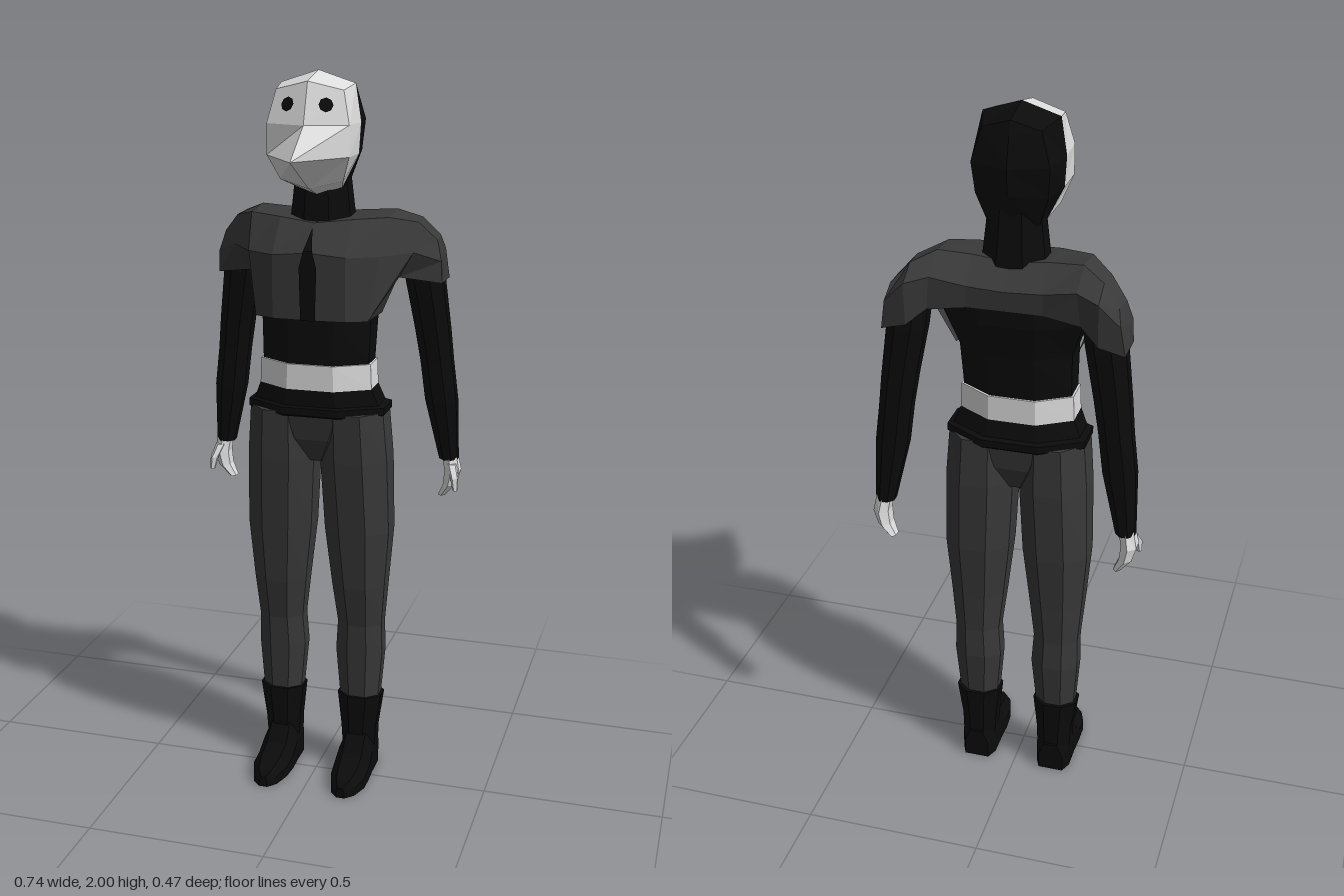
import * as THREE from 'three';
import { mergeGeometries } from 'three/addons/utils/BufferGeometryUtils.js';

const mat = (name, color) => {
  const m = new THREE.MeshStandardMaterial({ color, flatShading: true, side: THREE.DoubleSide });
  m.name = name;
  return m;
};

// Faceted surface through rows of [x, y, z] points.
function grid(rows, closed = false) {
  const out = [];
  for (let i = 0; i < rows.length - 1; i++) {
    const a = rows[i], b = rows[i + 1], n = a.length;
    for (let j = 0; j < (closed ? n : n - 1); j++) {
      const k = (j + 1) % n;
      out.push(...a[j], ...b[j], ...b[k], ...a[j], ...b[k], ...a[k]);
    }
  }
  const g = new THREE.BufferGeometry();
  g.setAttribute('position', new THREE.Float32BufferAttribute(out, 3));
  g.computeVertexNormals();
  return g;
}

// Same rows on the left and on the right.
const mirrorRows = rows => rows.map(r => r.map(([x, y, z]) => [-x, y, z]).reverse());
const mirrored = rows => mergeGeometries([grid(rows), grid(mirrorRows(rows))]);

// Capped loft of horizontal polygons: [y, centreX, centreZ, halfWidth, halfDepth].
function loft(sections, side = 1, n = 8) {
  const k = 1 / Math.cos(Math.PI / n);
  const ring = ([y, cx, cz, rx, rz]) => Array.from({ length: n }, (_, i) => {
    const a = (i + 0.5) / n * Math.PI * 2;
    return [side * cx + Math.cos(a) * rx * k, y, cz - Math.sin(a) * rz * k];
  });
  const point = ([y, cx, cz]) => Array(n).fill([side * cx, y, cz]);
  const s = [...sections].sort((a, b) => a[0] - b[0]);
  return grid([point(s[0]), ...s.map(ring), point(s[s.length - 1])].reverse(), true);
}

export function createModel() {
  const black = mat('black cloth', 0x0b0b0b);
  const grey = mat('dark grey cloth', 0x393939);
  const light = mat('pale grey', 0xdedede);
  const model = new THREE.Group();
  const add = (name, geometry, material) => {
    const m = new THREE.Mesh(geometry, material);
    m.name = name;
    model.add(m);
    return m;
  };

  // Torso, neck and waist
  add('torso', loft([
    [1.15, 0, -0.03, 0.15, 0.085], [1.24, 0, -0.03, 0.148, 0.088], [1.36, 0, -0.04, 0.152, 0.1],
    [1.46, 0, -0.06, 0.185, 0.11], [1.53, 0, -0.068, 0.17, 0.107], [1.58, 0, -0.075, 0.1, 0.08],
  ]), black);
  add('neck', loft([[1.56, 0, -0.07, 0.09, 0.075], [1.64, 0, -0.068, 0.08, 0.068], [1.78, 0, -0.065, 0.065, 0.055]]), black);
  add('belt', loft([[1.165, 0, -0.03, 0.157, 0.094], [1.235, 0, -0.03, 0.154, 0.094]]), light);
  add('jacketHem', loft([
    [1.09, 0, -0.04, 0.183, 0.105], [1.095, 0, -0.04, 0.192, 0.11],
    [1.115, 0, -0.04, 0.192, 0.11], [1.12, 0, -0.037, 0.175, 0.1], [1.166, 0, -0.03, 0.157, 0.093],
  ]), black);

  // Vest with swept-back shoulders: each row runs from front hem over the shoulder to the back hem
  const vest = [
    [[0, 1.36, 0.08], [0, 1.54, 0.08], [0, 1.61, 0.02], [0, 1.62, -0.125], [0, 1.565, -0.19], [0, 1.51, -0.185]],
    [[0.1, 1.36, 0.075], [0.1, 1.53, 0.075], [0.1, 1.62, 0], [0.1, 1.63, -0.125], [0.1, 1.57, -0.19], [0.1, 1.51, -0.185]],
    [[0.155, 1.36, 0.05], [0.18, 1.53, 0.03], [0.19, 1.625, -0.03], [0.19, 1.635, -0.13], [0.19, 1.59, -0.205], [0.2, 1.5, -0.2]],
    [[0.21, 1.46, -0.07], [0.25, 1.53, -0.06], [0.255, 1.605, -0.1], [0.25, 1.61, -0.17], [0.25, 1.575, -0.228], [0.25, 1.46, -0.222]],
    [[0.318, 1.44, -0.118], [0.315, 1.5, -0.115], [0.3, 1.555, -0.13], [0.295, 1.56, -0.195], [0.305, 1.52, -0.22], [0.318, 1.44, -0.215]],
  ];
  add('vest', mirrored(vest), grey);
  add('vestSides', mirrored([
    [[0.155, 1.36, 0.05], [0.21, 1.46, -0.07]],
    [[0.162, 1.36, -0.08], [0.2, 1.46, -0.11]],
  ]), grey);
  add('shoulderEnds', mirrored([vest[4].slice(0, 3), vest[4].slice(3).reverse()]), grey);
  add('vestOpening', mirrored([
    [[0, 1.36, 0.085], [0, 1.5, 0.085], [0, 1.545, 0.085], [0, 1.6, 0.036]],
    [[0.02, 1.36, 0.084], [0.024, 1.5, 0.084], [0.012, 1.545, 0.084], [0, 1.6, 0.036]],
  ]), black);

  // Mask with pointed beak, joined to the hood along the rim
  const rim = [[0, 2, -0.02], [0.1, 1.968, -0.02], [0.115, 1.87, -0.02], [0.11, 1.79, -0.02], [0.065, 1.7, -0.02], [0, 1.68, -0.01]];
  const cheek = [[0, 1.977, 0.08], [0.09, 1.955, 0.06], [0.11, 1.87, 0.08], [0.11, 1.79, 0.08], [0.085, 1.725, 0.045], [0, 1.705, 0.07]];
  const ridge = [[0, 1.977, 0.08], [0, 1.87, 0.118], [0, 1.79, 0.234], [0, 1.705, 0.07]];
  add('mask', mirrored([rim, cheek]), light);
  add('beak', mirrored([cheek.slice(1, 5), ridge]), light);
  add('hood', mirrored([
    rim,
    [[0, 1.98, -0.12], [0.075, 1.955, -0.11], [0.1, 1.87, -0.125], [0.093, 1.79, -0.115], [0.068, 1.715, -0.1], [0, 1.7, -0.11]],
    [[0, 1.98, -0.12], [0, 1.945, -0.135], [0, 1.87, -0.157], [0, 1.8, -0.15], [0, 1.73, -0.122], [0, 1.7, -0.11]],
  ]), black);

  // Hips
  add('hips', loft([[0.95, 0, -0.045, 0.035, 0.05], [1.02, 0, -0.04, 0.11, 0.085], [1.1, 0, -0.038, 0.18, 0.098]]), grey);

  for (const s of [1, -1]) {
    const side = s > 0 ? 'left' : 'right';

    // Eye
    const eye = add(side + 'Eye', new THREE.CircleGeometry(0.019, 8), black);
    eye.position.set(s * 0.051, 1.92, 0.088);
    eye.quaternion.setFromUnitVectors(new THREE.Vector3(0, 0, 1), new THREE.Vector3(s * 0.32, 0.34, 0.88).normalize());

    // Arm and hand
    add(side + 'Arm', loft([
      [1.54, 0.24, -0.165, 0.045, 0.04], [1.44, 0.262, -0.168, 0.052, 0.048], [1.3, 0.284, -0.178, 0.047, 0.044],
      [1.21, 0.296, -0.184, 0.044, 0.041], [1.1, 0.31, -0.188, 0.044, 0.038], [0.925, 0.333, -0.2, 0.026, 0.027],
    ], s), black);
    add(side + 'Hand', loft([
      [0.94, 0.336, -0.2, 0.02, 0.022], [0.89, 0.345, -0.2, 0.021, 0.031],
      [0.85, 0.337, -0.202, 0.017, 0.028], [0.815, 0.315, -0.205, 0.01, 0.018],
    ], s, 6), light);
    add(side + 'Thumb', loft([[0.915, 0.345, -0.178, 0.012, 0.012], [0.88, 0.358, -0.158, 0.01, 0.01], [0.845, 0.362, -0.152, 0.006, 0.006]], s, 5), light);

    // Trouser leg
    add(side + 'Leg', loft([
      [1.1, 0.1, -0.038, 0.088, 0.097], [0.96, 0.104, -0.045, 0.095, 0.097], [0.75, 0.112, -0.052, 0.092, 0.085],
      [0.58, 0.115, -0.055, 0.076, 0.068], [0.46, 0.117, -0.063, 0.064, 0.054], [0.37, 0.115, -0.067, 0.068, 0.053],
      [0.2, 0.116, -0.064, 0.054, 0.044],
    ], s), grey);

    // Boot shaft, then the foot from heel to toe: [z, centreX, halfWidth, height]
    add(side + 'BootShaft', loft([[0.235, 0.117, -0.065, 0.064, 0.054], [0.13, 0.115, -0.066, 0.051, 0.052], [0.06, 0.115, -0.07, 0.048, 0.05]], s), black);
    const foot = [
      [-0.122, 0.115, 0.036, 0.09], [-0.09, 0.115, 0.05, 0.13], [-0.02, 0.115, 0.05, 0.12], [0.025, 0.115, 0.052, 0.072],
      [0.08, 0.117, 0.05, 0.055], [0.13, 0.116, 0.034, 0.042], [0.153, 0.115, 0.012, 0.03],
    ].map(([z, cx, w, h]) => [[-w, 0], [w, 0], [w, h * 0.55], [w * 0.55, h], [-w * 0.55, h], [-w, h * 0.55]]
      .map(([x, y]) => [s * cx + x, y, z]));
    const cap = (r, z) => r.map(() => [s * 0.115, 0.02, z]);
    add(side + 'Foot', grid([cap(foot[0], -0.122), ...foot, cap(foot[6], 0.153)], true), black);
  }
  return model;
}
